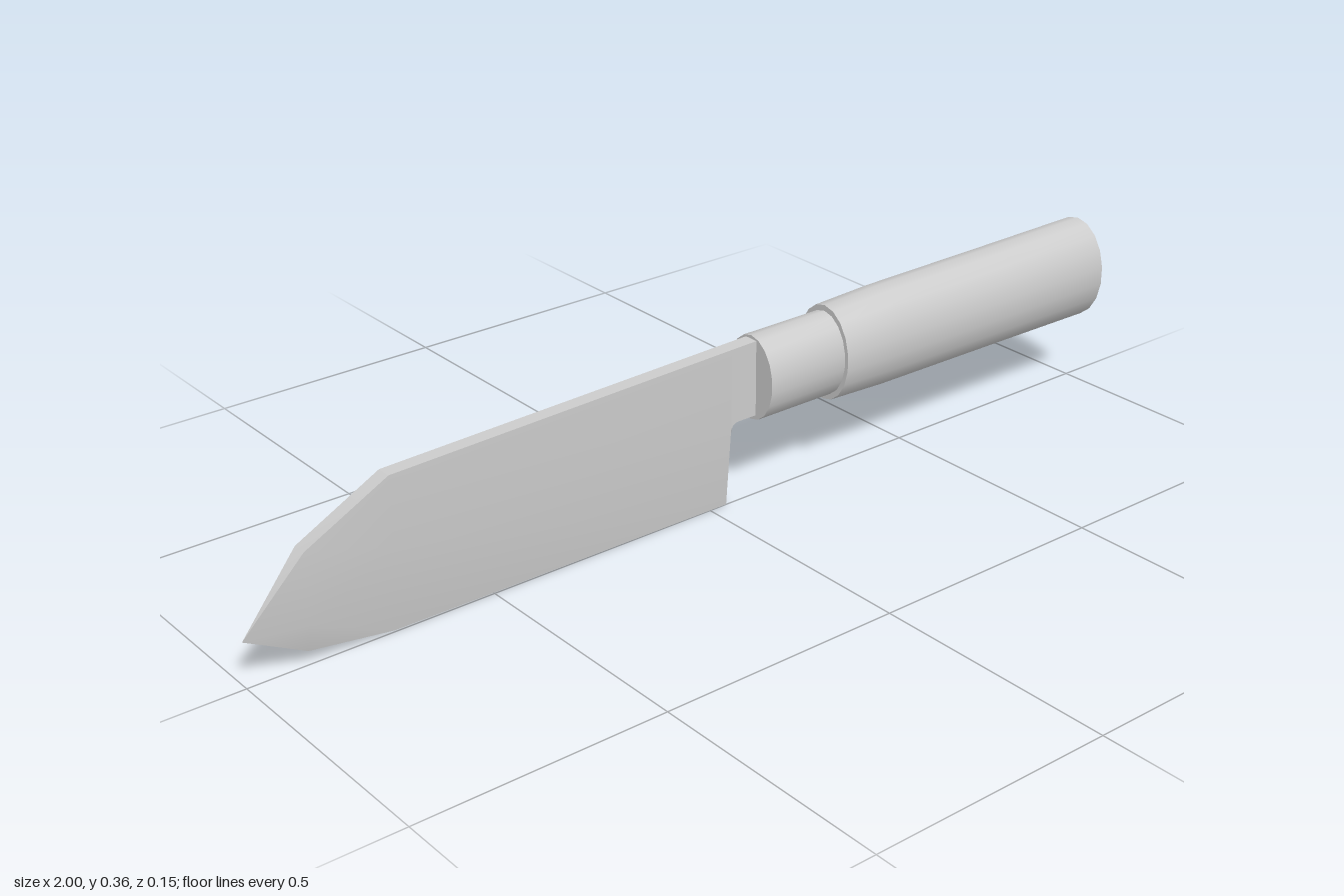
import * as THREE from 'three';
import { toCreasedNormals } from 'three/addons/utils/BufferGeometryUtils.js';

const steel = new THREE.MeshStandardMaterial({ color: 0xcccccc });

function addPart(group, name, geometry, crease) {
  const mesh = new THREE.Mesh(toCreasedNormals(geometry, crease), steel);
  mesh.name = name;
  group.add(mesh);
  return mesh;
}

// Blade: five-sided sections (flat spine, parallel cheeks, bevel to the edge)
function bladeGeometry() {
  // x, spine height, bevel height, edge height, half thickness
  const sections = [
    [-1, 0.09, 0.09, 0.09, 0],
    [-0.88, 0.224, 0.083, 0.027, 0.0145],
    [-0.71, 0.312, 0.175, 0.003, 0.015],
    [0.04, 0.331, 0.175, 0, 0.015],
  ];
  const positions = [];
  const index = [];
  for (const [x, top, bevel, edge, h] of sections) {
    positions.push(x, top, h, x, bevel, h, x, edge, 0, x, bevel, -h, x, top, -h);
  }
  for (let i = 0; i < sections.length - 1; i++) {
    for (let j = 0; j < 5; j++) {
      const a = i * 5 + j;
      const b = i * 5 + ((j + 1) % 5);
      if (i > 0) index.push(a, b, b + 5);
      else if (j === 4) { /* the tip is a single point */ }
      index.push(a, b + 5, a + 5);
    }
  }
  // heel face
  const last = (sections.length - 1) * 5;
  for (let j = 1; j < 4; j++) index.push(last, last + j, last + j + 1);
  const geometry = new THREE.BufferGeometry();
  geometry.setAttribute('position', new THREE.Float32BufferAttribute(positions, 3));
  geometry.setIndex(index);
  return geometry;
}

// Neck: joins the heel to the handle, with a small rounded notch below
function neckGeometry() {
  const shape = new THREE.Shape();
  shape.moveTo(0.04, 0.331);
  shape.lineTo(0.04, 0.16);
  shape.quadraticCurveTo(0.04, 0.178, 0.058, 0.178);
  shape.lineTo(0.13, 0.178);
  shape.lineTo(0.13, 0.333);
  const geometry = new THREE.ExtrudeGeometry(shape, { depth: 0.03, bevelEnabled: false, curveSegments: 4 });
  return geometry.translate(0, 0, -0.015);
}

// Oval turned part along x, from [radius, x] points
function ovalTurned(profile) {
  const points = profile.map(([r, x]) => new THREE.Vector2(r, x));
  return new THREE.LatheGeometry(points, 18, Math.PI / 2)
    .rotateZ(-Math.PI / 2)
    .scale(1, 1, 0.72)
    .translate(0, 0.2525, 0);
}

export function createModel() {
  const group = new THREE.Group();
  group.name = 'kitchenKnife';
  addPart(group, 'blade', bladeGeometry(), 0.4);
  addPart(group, 'neck', neckGeometry(), 0.5);
  addPart(group, 'ferrule', ovalTurned([[0, 0.1], [0.087, 0.1], [0.087, 0.3], [0, 0.3]]), 0.65);
  addPart(group, 'handle', ovalTurned([
    [0, 0.285], [0.099, 0.285], [0.104, 0.42], [0.106, 0.75], [0.108, 1], [0, 1],
  ]), 0.65);
  return group;
}
